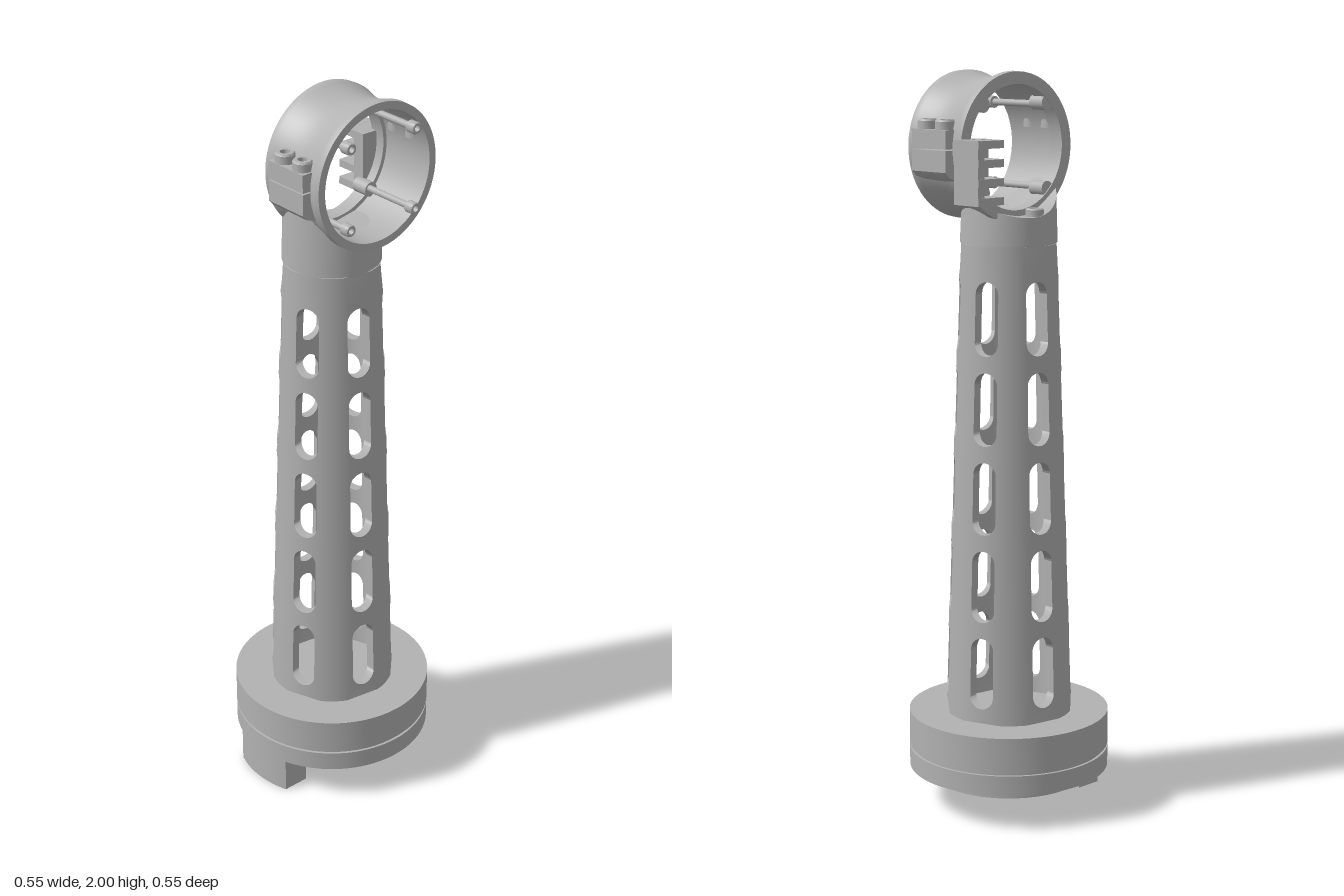
import * as THREE from 'three';
import { toCreasedNormals } from 'three/addons/utils/BufferGeometryUtils.js';

const TILT = -0.16; // the head and foot are turned slightly about the column

export function createModel() {
  const grey = new THREE.MeshStandardMaterial({ color: 0xb2b2b2 });
  grey.name = 'plain grey';
  const model = new THREE.Group();
  model.name = 'columnWithClampHead';

  const add = (parent, name, geo, x = 0, y = 0, z = 0) => {
    const m = new THREE.Mesh(geo, grey);
    m.name = name;
    m.position.set(x, y, z);
    parent.add(m);
    return m;
  };
  const lathe = (pts, seg = 64) => toCreasedNormals(
    new THREE.LatheGeometry(pts.map(p => new THREE.Vector2(p[0], p[1])), seg), 0.5);
  const extrude = (shape, depth) => toCreasedNormals(
    new THREE.ExtrudeGeometry(shape, { depth, bevelEnabled: false, curveSegments: 40 }), 0.5);
  const slab = (shape, depth) => extrude(shape, depth).rotateX(-Math.PI / 2);
  const hole = (shape, x, y, r) => {
    const p = new THREE.Path();
    p.absarc(x, y, r, 0, Math.PI * 2, true);
    shape.holes.push(p);
  };
  // Socket-head screw standing on y = 0
  const screwGeo = (r, h) => lathe([[0, 0], [r, 0], [r, h * 0.85], [r * 0.88, h],
    [r * 0.5, h], [r * 0.5, h * 0.4], [0, h * 0.4]], 24);

  // Base
  const turned = new THREE.Group();
  turned.name = 'turnedParts';
  turned.rotation.y = TILT;
  model.add(turned);

  const lower = new THREE.Shape();
  lower.absarc(0, 0, 0.275, 0, Math.PI * 2, false);
  hole(lower, 0, 0, 0.045);
  for (let i = 0; i < 8; i++) {
    const a = (i + 0.5) * Math.PI / 4;
    hole(lower, Math.cos(a) * 0.244, Math.sin(a) * 0.244, 0.017);
  }
  add(turned, 'lowerFlange', slab(lower, 0.055), 0, 0.1, 0);
  add(model, 'flangeGroove', lathe([[0, 0.154], [0.268, 0.154], [0.268, 0.163]]));
  add(model, 'upperFlange', lathe([[0, 0.163], [0.275, 0.163], [0.275, 0.26], [0, 0.26]], 96));
  // Raised rim with a recessed plate under the base
  add(model, 'undersideRim', lathe([[0.195, 0.1], [0.195, 0.07], [0.215, 0.07], [0.215, 0.102]]));
  const plate = new THREE.Shape();
  plate.absarc(0, 0, 0.197, 0, Math.PI * 2, false);
  hole(plate, 0, 0, 0.045);
  for (let i = 0; i < 8; i++) {
    const a = i * Math.PI / 4;
    hole(plate, Math.cos(a) * 0.165, Math.sin(a) * 0.165, 0.006);
  }
  add(turned, 'undersidePlate', slab(plate, 0.02), 0, 0.08, 0);

  // Foot block following the rim of the flange
  const foot = new THREE.Shape();
  const w = 0.0975, mid = -Math.PI / 2;
  const ao = Math.asin(w / 0.273), ai = Math.asin(w / 0.205);
  foot.absarc(0, 0, 0.273, mid - ao, mid + ao, false);
  foot.absarc(0, 0, 0.205, mid + ai, mid - ai, true);
  for (const s of [-1, 1]) hole(foot, s * 0.06, -0.236, 0.015);
  add(turned, 'foot', slab(foot, 0.1));

  // Hollow tapered column, made flat (x is the angle) and then wrapped round
  const Y0 = 0.26, Y1 = 1.55, WALL = 0.026;
  const radius = y => THREE.MathUtils.mapLinear(y, Y0, Y1, 0.174, 0.13);
  const wrap = geo => {
    const p = geo.attributes.position, n = geo.attributes.normal;
    for (let i = 0; i < p.count; i++) {
      const a = p.getX(i), y = p.getY(i), r = radius(y) - WALL + p.getZ(i);
      const s = Math.sin(a), c = Math.cos(a), nx = n.getX(i), nz = n.getZ(i);
      p.setXYZ(i, r * s, y, r * c);
      n.setXYZ(i, nx * c + nz * s, n.getY(i), nz * c - nx * s);
    }
    return geo;
  };
  const column = new THREE.Group();
  column.name = 'column';
  model.add(column);
  const half = 0.3, step = Math.PI / 3, gap = step - 2 * half;
  for (let k = 0; k < 6; k++) {
    const strip = new THREE.Shape();
    strip.moveTo(-half, Y0).lineTo(half, Y0).lineTo(half, Y1).lineTo(-half, Y1);
    for (let j = 0; j < 5; j++) {
      const yc = 0.4 + j * 0.24, hw = 0.034 / radius(yc), hh = 0.064;
      const slot = new THREE.Path();
      slot.absellipse(0, yc + hh, hw, 0.034, 0, Math.PI, false, 0);
      slot.absellipse(0, yc - hh, hw, 0.034, Math.PI, Math.PI * 2, false, 0);
      strip.holes.push(slot);
    }
    const stripGeo = new THREE.ExtrudeGeometry(strip,
      { depth: WALL, bevelEnabled: false, curveSegments: 10 });
    const angle = 0.21 + k * step;
    add(column, 'slottedStrip', wrap(stripGeo)).rotation.y = angle;
    const solid = new THREE.BoxGeometry(gap, Y1 - Y0, WALL, 6, 1, 1)
      .translate(0, (Y0 + Y1) / 2, WALL / 2);
    add(column, 'solidStrip', wrap(solid)).rotation.y = angle + step / 2;
  }

  // Clamp head: local origin at the ring centre, ring axis along x
  const CX = 0.033, CY = 1.805, CZ = -0.036;
  const head = new THREE.Group();
  head.name = 'clampHead';
  head.position.set(CX, CY, CZ);
  turned.add(head);

  // Collar, its top cut to the underside of the ring
  const collarGeo = new THREE.CylinderGeometry(0.126, 0.13, 0.1, 64, 1);
  const cp = collarGeo.attributes.position;
  for (let i = 0; i < cp.count; i++) {
    if (cp.getY(i) < 0) cp.setY(i, 1.553);
    else cp.setY(i, CY - Math.sqrt(0.18 ** 2 - (cp.getZ(i) - CZ) ** 2));
  }
  add(turned, 'collar', toCreasedNormals(collarGeo, 0.6));
  add(model, 'collarSeam', lathe([[0.1, 1.547], [0.127, 1.547], [0.127, 1.556]]));
  add(turned, 'collarScrew', screwGeo(0.024, 0.022), -0.1, 1.625, 0);

  // Ring with a flange at each end, a waist and an inner lip
  const outline = [[0.163, -0.103], [0.195, -0.103], [0.196, -0.085]];
  for (let i = 0; i <= 12; i++) {
    const t = i / 12;
    outline.push([0.194 - 0.014 * Math.sin(Math.PI * t), -0.08 + 0.16 * t]);
  }
  outline.push([0.196, 0.085], [0.195, 0.103], [0.174, 0.103],
    [0.174, -0.06], [0.163, -0.06], [0.163, -0.103]);
  add(head, 'ring', lathe(outline, 96).rotateZ(-Math.PI / 2));

  // Four pins inside the ring, standing out past its open side
  for (const sy of [-1, 1]) for (const sz of [-1, 1]) {
    const y = sy * 0.108, z = sz * 0.108;
    const shaft = new THREE.CylinderGeometry(0.009, 0.009, 0.16, 16).rotateZ(-Math.PI / 2);
    add(head, 'pinShaft', shaft, 0.02, y, z);
    add(head, 'pinHead', screwGeo(0.016, 0.026).rotateZ(-Math.PI / 2), 0.1, y, z);
    const boss = new THREE.CylinderGeometry(0.02, 0.02, 0.05, 20).rotateZ(-Math.PI / 2);
    add(head, 'pinBoss', boss, -0.075, y * 1.04, z * 1.04);
  }

  // Clamp lugs front and back, each with two screws
  for (const side of [1, -1]) {
    const lower = new THREE.Shape();
    lower.moveTo(0.156, -0.086).lineTo(0.2, -0.072).lineTo(0.214, -0.058).lineTo(0.214, -0.002)
      .lineTo(0.178, -0.002).absarc(0, 0, 0.178, 0, -0.5, true);
    const upper = new THREE.Shape();
    upper.moveTo(0.178, 0.002).lineTo(0.214, 0.002).lineTo(0.214, 0.05).lineTo(0.17, 0.05)
      .absarc(0, 0, 0.178, 0.29, 0.01, true);
    for (const [name, s] of [['lowerLug', lower], ['upperLug', upper]]) {
      const geo = extrude(s, 0.132).translate(0, 0, -0.066).rotateY(-side * Math.PI / 2);
      add(head, name, geo);
    }
    for (const s of [-1, 1]) {
      add(head, 'lugScrew', screwGeo(0.026, 0.034), s * 0.034, 0.042, side * 0.187);
    }
  }

  // Hinge bracket with stacked knuckles on the closed side, towards the back
  const bracket = new THREE.Group();
  bracket.name = 'hingeBracket';
  bracket.position.set(-0.1, -0.055, -0.16);
  head.add(bracket);
  add(bracket, 'bracketBase', new THREE.BoxGeometry(0.035, 0.165, 0.088), -0.004, 0, 0);
  add(bracket, 'bracketBack', new THREE.BoxGeometry(0.08, 0.165, 0.022), -0.038, 0, -0.033);
  for (let i = 0; i < 4; i++) {
    add(bracket, 'knuckle', new THREE.BoxGeometry(0.08, 0.02, 0.088), -0.04, -0.072 + i * 0.048, 0);
  }
  return model;
}
